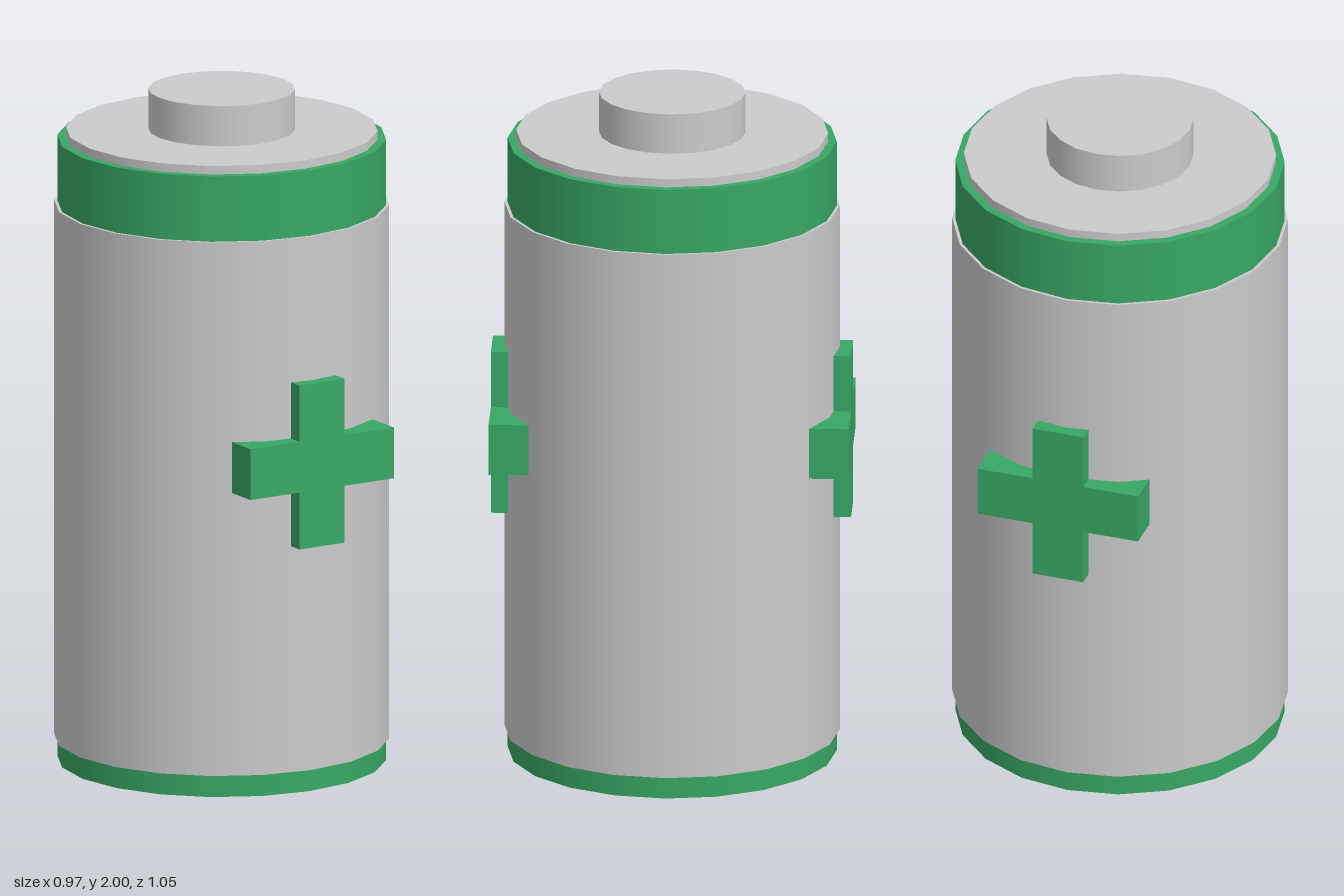
import * as THREE from 'three';

const SIDES = 20;

export function createModel() {
  const battery = new THREE.Group();
  battery.name = 'battery';
  const grey = new THREE.MeshStandardMaterial({ color: 0xcccccc });
  const green = new THREE.MeshStandardMaterial({ color: 0x38a765 });

  const add = (name, geometry, material) => {
    const mesh = new THREE.Mesh(geometry, material);
    mesh.name = name;
    battery.add(mesh);
    return mesh;
  };

  // Upright drum between two heights
  const drum = (name, radius, bottom, top, material) => {
    const geometry = new THREE.CylinderGeometry(radius, radius, top - bottom, SIDES);
    add(name, geometry, material).position.y = (bottom + top) / 2;
  };

  drum('core', 0.478, 0, 1.855, green); // shows as the bottom and top bands
  drum('sleeve', 0.487, 0.065, 1.66, grey);
  drum('topPlate', 0.453, 1.8, 1.88, grey);
  drum('terminal', 0.213, 1.86, 2, grey);

  // Plus sign outline, slightly off the centre line
  const [x0, x1, x2, x3] = [-0.232, -0.064, 0.091, 0.26];
  const [y0, y1, y2, y3] = [0.74, 0.91, 1.062, 1.23];
  const plus = new THREE.Shape([
    [x1, y0], [x2, y0], [x2, y1], [x3, y1], [x3, y2], [x2, y2],
    [x2, y3], [x1, y3], [x1, y2], [x0, y2], [x0, y1], [x1, y1],
  ].map(([x, y]) => new THREE.Vector2(x, y)));

  // Raised plus on the front and the back, sunk into the sleeve
  const depth = 0.165;
  for (const [name, z] of [['frontPlus', 0.523 - depth], ['backPlus', -0.523]]) {
    const geometry = new THREE.ExtrudeGeometry(plus, { depth, bevelEnabled: false });
    add(name, geometry, green).position.z = z;
  }

  return battery;
}
